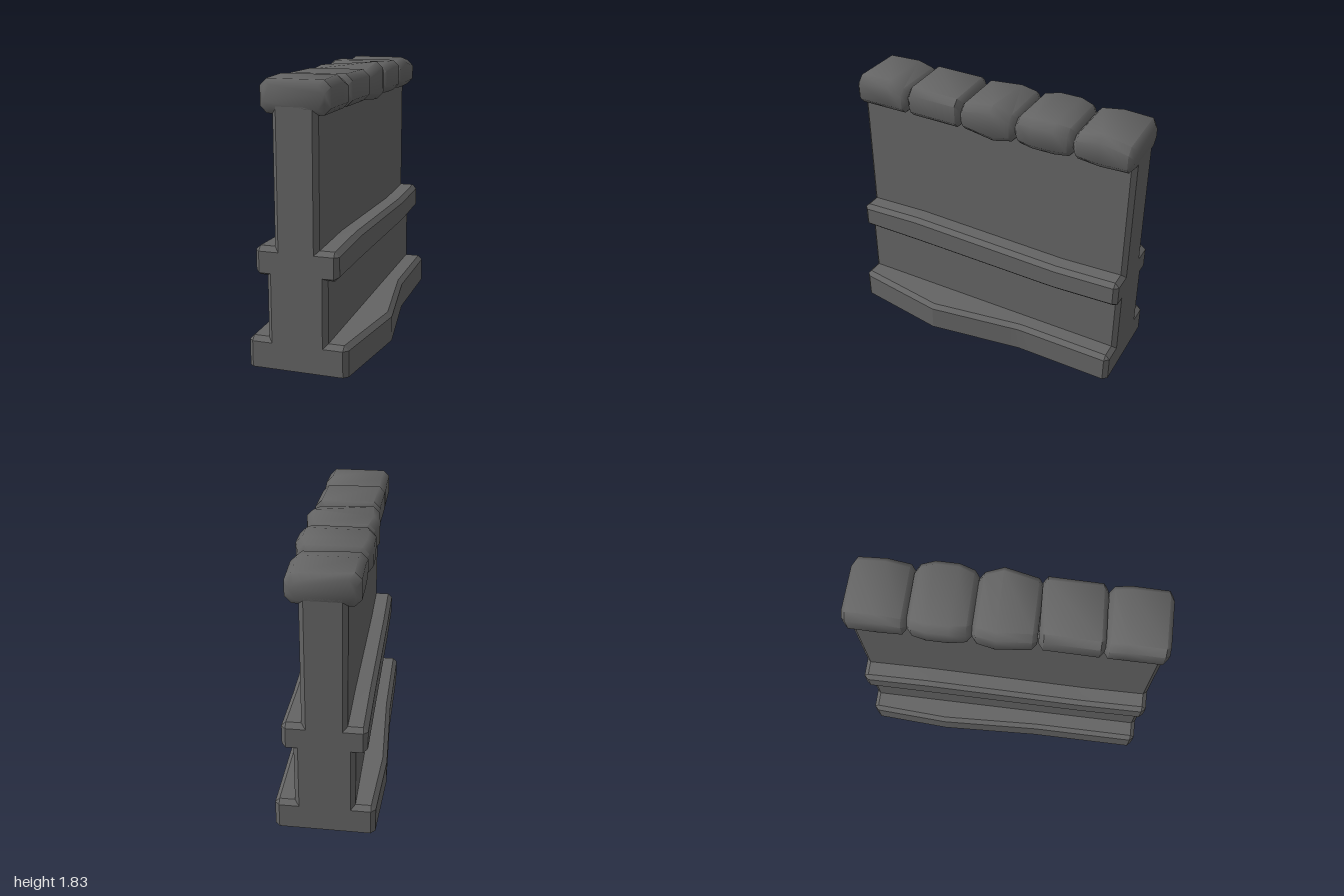
import * as THREE from 'three';
import { toCreasedNormals } from 'three/addons/utils/BufferGeometryUtils.js';

const CX = -0.035; // middle plane of the wall
const stone = new THREE.MeshStandardMaterial({ color: 0x646464, side: THREE.DoubleSide });
stone.name = 'grey stone';

// piecewise linear curve through [z, value] pairs, z descending
function lerpAt(pairs, z) {
  if (z >= pairs[0][0]) return pairs[0][1];
  for (let i = 1; i < pairs.length; i++) {
    const [z0, v0] = pairs[i - 1], [z1, v1] = pairs[i];
    if (z >= z1) return v0 + (v1 - v0) * (z0 - z) / (z0 - z1);
  }
  return pairs[pairs.length - 1][1];
}

// skin counter-clockwise rings running from front to back, with end caps
function loft(rings, closed, crease) {
  const n = rings[0].length, pos = [], idx = [];
  rings.forEach(r => r.forEach(p => pos.push(...p)));
  for (let i = 0; i < rings.length - 1; i++) {
    for (let j = 0; j < (closed ? n : n - 1); j++) {
      const k = (j + 1) % n;
      const a = i * n + j, b = i * n + k, d = a + n, c = b + n;
      idx.push(a, d, b, b, d, c);
    }
  }
  const cap = (r, base, flip) => {
    const pts = r.map(p => new THREE.Vector2(p[0], p[1]));
    for (const [a, b, c] of THREE.ShapeUtils.triangulateShape(pts, [])) {
      idx.push(base + a, base + (flip ? c : b), base + (flip ? b : c));
    }
  };
  cap(rings[0], 0, false);
  cap(rings[rings.length - 1], (rings.length - 1) * n, true);
  const g = new THREE.BufferGeometry();
  g.setAttribute('position', new THREE.Float32BufferAttribute(pos, 3));
  g.setIndex(idx);
  return toCreasedNormals(g, crease);
}

// hand-cut unevenness of the plinth and the band
const bulgeRight = [[0.97, 0], [0.34, 0.1], [-0.32, 0], [-1, 0]];
const bulgeLeft = [[0.25, 0], [-0.45, 0.03], [-0.97, 0]];
const bandTop = [[0.97, -0.015], [0.55, 0], [-0.55, -0.03], [-0.97, -0.012]];
const bandBottom = [[0.97, 0.012], [0.5, 0.01], [-0.53, -0.008], [-0.97, 0.012]];

// half profile from ground to top: distance from the middle plane and height
function halfProfile(z, side) {
  if (Math.abs(z) > 0.99) {
    return [[0.295, 0], [0.295, 0.17], [0.295, 0.17], [0.165, 0.17], [0.165, 0.62], [0.24, 0.62],
      [0.24, 0.62], [0.24, 0.757], [0.24, 0.757], [0.113, 0.757], [0.113, 1.64]];
  }
  const b = lerpAt(side > 0 ? bulgeRight : bulgeLeft, z);
  const t = lerpAt(bandTop, z * side), u = lerpAt(bandBottom, z * side);
  return [[0.325 + b, 0], [0.325 + b, 0.17], [0.295 + b, 0.2], [0.195, 0.2], [0.195, 0.59 + u],
    [0.238, 0.59 + u], [0.268, 0.62 + u], [0.268, 0.77 + t], [0.238, 0.8 + t], [0.143, 0.8 + t], [0.143, 1.64]];
}

// wall body, open underneath
function buildWall() {
  const zs = [1, 0.97, 0.55, 0.34, 0.25, -0.25, -0.32, -0.45, -0.55, -0.97, -1];
  const rings = zs.map(z => {
    const right = halfProfile(z, 1).map(([d, y]) => [CX + d, y, z]);
    const left = halfProfile(z, -1).map(([d, y]) => [CX - d, y, z]);
    return [...right, ...left.reverse()];
  });
  return loft(rings, false, 0.3);
}

// eight-sided section of a capstone; the top may rise to different heights on each side
function capRing([z, x0, x1, y0, yLeft, yRight], skew = 0) {
  const c = 0.042;
  return [[x1 - c, y0], [x1, y0 + c], [x1, yRight - c], [x1 - c, yRight],
    [x0 + c, yLeft], [x0, yLeft - c], [x0, y0 + c], [x0 + c, y0]]
    .map(([x, y]) => [x, y, z + skew * (x - CX)]);
}

// capstone: main sections plus a smaller section at either end
function buildCap({ sections, ends, skew = 0 }) {
  const shrink = (s, z) => [z, s[1] + 0.03, s[2] - 0.03, s[3] + 0.032, s[4] - 0.035, s[5] - 0.035];
  const all = [shrink(sections[0], ends[0]), ...sections, shrink(sections[sections.length - 1], ends[1])];
  return loft(all.map(s => capRing(s, skew)), true, 0.9);
}

// sections: z, left x, right x, bottom, top on the left, top on the right
const caps = [
  { ends: [1, 0.605], sections: [
    [0.97, -0.255, 0.185, 1.595, 1.8, 1.8], [0.74, -0.255, 0.185, 1.595, 1.81, 1.81],
    [0.635, -0.255, 0.185, 1.595, 1.78, 1.775]] },
  { ends: [0.605, 0.2], skew: -0.04, sections: [
    [0.575, -0.255, 0.185, 1.595, 1.8, 1.8], [0.23, -0.25, 0.19, 1.595, 1.8, 1.8]] },
  { ends: [0.2, -0.2], sections: [
    [0.17, -0.255, 0.18, 1.593, 1.79, 1.78], [-0.05, -0.275, 0.205, 1.575, 1.8, 1.83],
    [-0.17, -0.255, 0.18, 1.59, 1.79, 1.78]] },
  { ends: [-0.2, -0.6], sections: [
    [-0.23, -0.255, 0.18, 1.595, 1.79, 1.79], [-0.33, -0.275, 0.205, 1.595, 1.81, 1.81],
    [-0.48, -0.275, 0.205, 1.595, 1.81, 1.81], [-0.57, -0.255, 0.18, 1.595, 1.79, 1.79]] },
  { ends: [-0.6, -1], sections: [
    [-0.63, -0.255, 0.18, 1.595, 1.785, 1.775], [-0.78, -0.255, 0.185, 1.582, 1.81, 1.81],
    [-0.97, -0.255, 0.19, 1.592, 1.8, 1.775]] },
];

export function createModel() {
  const group = new THREE.Group();
  group.name = 'stoneWall';
  const add = (name, geometry) => {
    const mesh = new THREE.Mesh(geometry, stone);
    mesh.name = name;
    group.add(mesh);
  };
  add('wallBody', buildWall());
  caps.forEach((cap, i) => add('capstone' + (i + 1), buildCap(cap)));
  return group;
}
